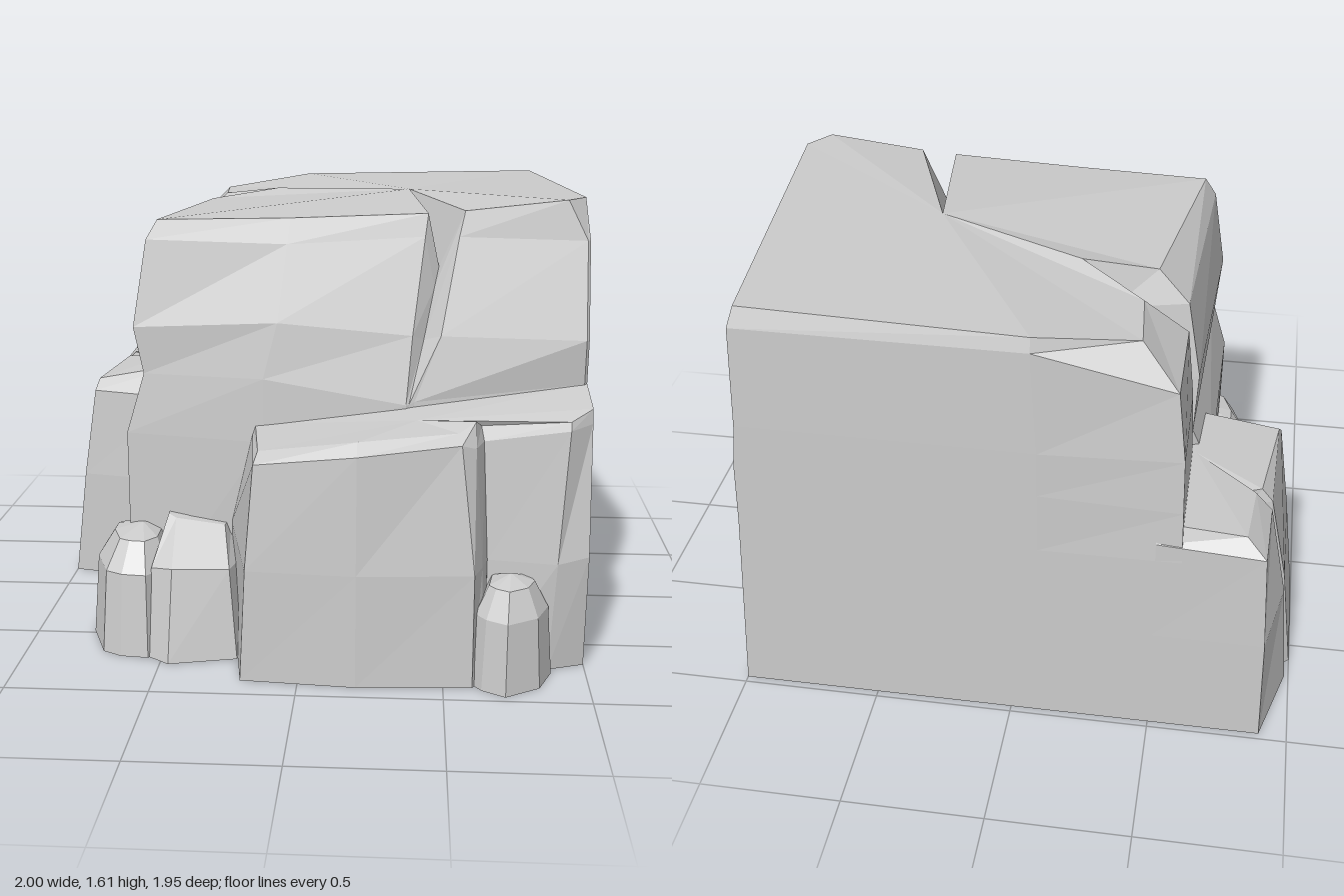
import * as THREE from 'three';

const material = new THREE.MeshStandardMaterial({ color: 0xcccccc, flatShading: true });

// Skins a closed ring of columns (each a list of [x, y, z], foot to crown)
// and closes it with a fan at the foot and at the crown.
function loft(name, columns, crown) {
  const pos = [];
  const n = columns.length, levels = columns[0].length;
  let area = 0, foot = [0, 0, 0], top = [0, 0, 0];
  columns.forEach((c, i) => {
    const a = c[0], b = columns[(i + 1) % n][0];
    area += a[0] * b[2] - b[0] * a[2];
    for (let k = 0; k < 3; k++) {
      foot[k] += a[k] / n;
      top[k] += c[levels - 1][k] / n;
    }
  });
  if (crown) top = crown;
  const ring = area < 0 ? columns : [...columns].reverse();
  const tri = (a, b, c) => pos.push(...a, ...b, ...c);
  for (let i = 0; i < n; i++) {
    const p = ring[i], q = ring[(i + 1) % n];
    for (let l = 0; l < levels - 1; l++) {
      tri(p[l], q[l], q[l + 1]);
      tri(p[l], q[l + 1], p[l + 1]);
    }
    tri(foot, q[0], p[0]);
    tri(top, p[levels - 1], q[levels - 1]);
  }
  const geometry = new THREE.BufferGeometry();
  geometry.setAttribute('position', new THREE.Float32BufferAttribute(pos, 3));
  geometry.computeVertexNormals();
  const mesh = new THREE.Mesh(geometry, material);
  mesh.name = name;
  return mesh;
}

// A small boulder: straight-ish sides up to a shoulder, then a smaller crown.
function boulder(name, outline, shoulder, height, [cx, cz], scale = 0.5) {
  const at = (x, z, y, s) => [cx + (x - cx) * s, y, cz + (z - cz) * s];
  const columns = outline.map(([x, z]) => [
    at(x, z, 0, 1), at(x, z, shoulder, 0.88), at(x, z, height - 0.03, scale),
  ]);
  return loft(name, columns, [cx, height, cz]);
}

function createModel() {
  const group = new THREE.Group();
  group.name = 'rockCliff';

  // Main block, front face with the split running up to the top
  const frontLeft = [[-0.65, 0, 0.45], [-0.655, 0.76, 0.44], [-0.59, 0.98, 0.43], [-0.625, 1.15, 0.43], [-0.58, 1.46, 0.38], [-0.54, 1.53, 0.36]];
  const frontMid = [[-0.15, 0, 0.5], [-0.15, 0.75, 0.51], [-0.15, 0.98, 0.5], [-0.1, 1.18, 0.48], [-0.07, 1.45, 0.4], [-0.06, 1.54, 0.37]];
  const splitLeft = [[0.35, 0, 0.5], [0.35, 0.75, 0.53], [0.36, 0.9, 0.53], [0.38, 1.14, 0.48], [0.42, 1.48, 0.39], [0.43, 1.56, 0.37]];
  const splitInner = [[0.36, 0, 0.5], [0.36, 0.75, 0.53], [0.37, 0.9, 0.525], [0.42, 1.12, 0.44], [0.455, 1.3, 0.39], [0.47, 1.37, 0.36]];
  const splitRight = [[0.37, 0, 0.5], [0.37, 0.75, 0.53], [0.39, 0.91, 0.52], [0.48, 1.14, 0.48], [0.54, 1.48, 0.39], [0.56, 1.57, 0.37]];
  const frontRight = [[0.99, 0, 0.46], [0.99, 0.75, 0.46], [0.99, 0.97, 0.46], [0.99, 1.13, 0.48], [0.99, 1.47, 0.39], [0.92, 1.61, 0.37]];

  // Main block, right end and back
  const rightFront = [[1, 0, 0.45], [1, 0.75, 0.45], [1, 0.97, 0.45], [1, 1.13, 0.47], [1, 1.47, 0.38], [0.99, 1.61, 0.27]];
  const backRight = [[1, 0, -0.975], [0.95, 0.75, -0.97], [0.94, 0.98, -0.97], [0.92, 1.15, -0.97], [0.9, 1.53, -0.965], [0.88, 1.6, -0.94]];
  const backMid = [[-0.1, 0, -0.975], [-0.1, 0.75, -0.975], [-0.1, 0.98, -0.975], [-0.1, 1.15, -0.975], [-0.08, 1.53, -0.97], [-0.08, 1.58, -0.955]];
  const backLeft = [[-0.6, 0, -0.975], [-0.59, 0.75, -0.97], [-0.585, 0.95, -0.96], [-0.58, 1.15, -0.95], [-0.55, 1.4, -0.93], [-0.42, 1.53, -0.84]];

  // Main block, cleft in the left side
  const cleftBack = [[-0.6, 0, -0.5], [-0.59, 0.75, -0.49], [-0.585, 0.85, -0.49], [-0.575, 1.12, -0.51], [-0.55, 1.4, -0.55], [-0.4, 1.53, -0.59]];
  const cleftInner = [[-0.6, 0, -0.46], [-0.59, 0.75, -0.46], [-0.57, 0.86, -0.46], [-0.46, 1.12, -0.45], [-0.28, 1.4, -0.43], [-0.17, 1.57, -0.41]];
  const cleftFront = [[-0.65, 0, -0.4], [-0.65, 0.75, -0.42], [-0.58, 0.93, -0.45], [-0.59, 1.15, -0.43], [-0.54, 1.42, -0.4], [-0.43, 1.53, -0.37]];

  group.add(loft('mainBlock', [
    frontLeft, frontMid, splitLeft, splitInner, splitRight, frontRight, rightFront,
    backRight, backMid, backLeft, cleftBack, cleftInner, cleftFront,
  ], [0.36, 1.59, -0.19]));

  // Front ledge, stepped back on its right part
  group.add(loft('frontLedge', [
    [[-0.26, 0, 0.48], [-0.27, 0.44, 0.48], [-0.19, 0.78, 0.48], [-0.18, 0.81, 0.48]],
    [[-0.2, 0, 0.89], [-0.18, 0.4, 0.89], [-0.15, 0.77, 0.87], [-0.14, 0.8, 0.8]],
    [[0.2, 0, 0.925], [0.2, 0.4, 0.92], [0.2, 0.81, 0.9], [0.2, 0.85, 0.85]],
    [[0.6, 0, 0.9], [0.6, 0.4, 0.89], [0.55, 0.84, 0.84], [0.54, 0.87, 0.79]],
    [[0.64, 0, 0.83], [0.63, 0.4, 0.8], [0.6, 0.82, 0.8], [0.6, 0.9, 0.74]],
    [[0.65, 0, 0.72], [0.65, 0.4, 0.72], [0.63, 0.82, 0.7], [0.62, 0.87, 0.68]],
    [[0.87, 0, 0.73], [0.89, 0.4, 0.76], [0.92, 0.87, 0.74], [0.92, 0.9, 0.73]],
    [[1, 0, 0.68], [1, 0.42, 0.73], [1, 0.88, 0.67], [1, 0.93, 0.66]],
    [[1, 0, 0.4], [1, 0.4, 0.4], [1, 0.9, 0.42], [1, 0.97, 0.45]],
    [[0.36, 0, 0.4], [0.36, 0.4, 0.4], [0.36, 0.8, 0.48], [0.36, 0.89, 0.51]],
  ], [0.4, 0.88, 0.66]));

  // Low slab at the back left, with a narrow crack in its outer side
  group.add(loft('sideSlab', [
    [[-0.5, 0, -0.975], [-0.5, 0.42, -0.975], [-0.5, 0.82, -0.97], [-0.5, 0.89, -0.94]],
    [[-0.9, 0, -0.975], [-0.89, 0.42, -0.975], [-0.87, 0.79, -0.965], [-0.8, 0.85, -0.92]],
    [[-0.985, 0, -0.67], [-0.95, 0.42, -0.67], [-0.88, 0.77, -0.66], [-0.82, 0.83, -0.65]],
    [[-0.94, 0, -0.64], [-0.88, 0.42, -0.64], [-0.8, 0.76, -0.635], [-0.78, 0.82, -0.635]],
    [[-1, 0, -0.58], [-0.95, 0.42, -0.59], [-0.88, 0.77, -0.61], [-0.84, 0.82, -0.61]],
    [[-1, 0, -0.17], [-0.95, 0.42, -0.16], [-0.9, 0.77, -0.17], [-0.89, 0.81, -0.22]],
    [[-0.55, 0, -0.07], [-0.55, 0.42, -0.075], [-0.55, 0.76, -0.1], [-0.55, 0.87, -0.23]],
  ], [-0.6, 0.87, -0.5]));

  // Boulders around the foot
  group.add(boulder('leftBoulder', [
    [-0.79, 0.34], [-0.79, 0.48], [-0.72, 0.67], [-0.65, 0.71], [-0.55, 0.72],
    [-0.48, 0.62], [-0.48, 0.32], [-0.65, 0.25], [-0.74, 0.29],
  ], 0.3, 0.43, [-0.6, 0.47], 0.55));
  group.add(loft('middleBoulder', [
    [[-0.55, 0, 0.71], [-0.54, 0.32, 0.66], [-0.5, 0.47, 0.49]],
    [[-0.47, 0, 0.77], [-0.46, 0.33, 0.7], [-0.47, 0.46, 0.51]],
    [[-0.23, 0, 0.71], [-0.26, 0.32, 0.66], [-0.29, 0.44, 0.52]],
    [[-0.18, 0, 0.5], [-0.22, 0.32, 0.48], [-0.28, 0.44, 0.42]],
    [[-0.55, 0, 0.4], [-0.55, 0.32, 0.4], [-0.5, 0.47, 0.4]],
  ]));
  group.add(boulder('rightBoulder', [
    [0.59, 0.86], [0.63, 0.92], [0.71, 0.97], [0.83, 0.89], [0.88, 0.76], [0.85, 0.66], [0.62, 0.66],
  ], 0.25, 0.375, [0.73, 0.78], 0.55));
  group.add(boulder('sideBoulder', [
    [-0.74, -0.03], [-0.73, 0.05], [-0.7, 0.13], [-0.6, 0.18], [-0.6, -0.1], [-0.68, -0.08],
  ], 0.22, 0.33, [-0.63, 0.04]));

  return group;
}

export { createModel };
